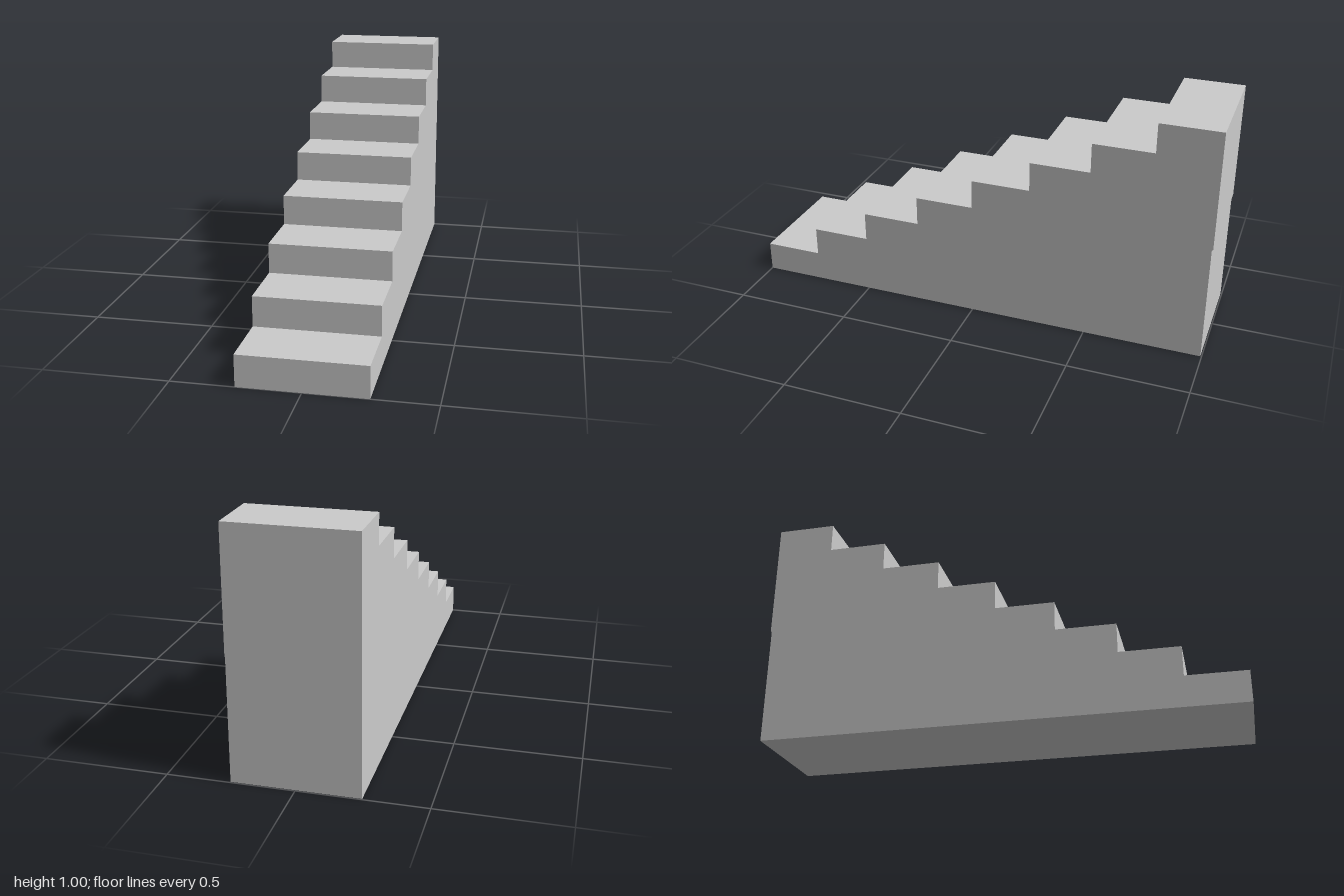
import * as THREE from 'three';

const WIDTH = 0.5;
const STEPS = 8;
const TREAD = 0.25;
const RISER = 0.124;
const FIRST_RISER = 0.129;

export function createModel() {
  const group = new THREE.Group();
  group.name = 'staircase';

  // Side profile, drawn as (z, y): base, back wall with a slight ledge, then the steps
  const profile = new THREE.Shape();
  profile.moveTo(1, 0);
  for (let i = 0; i < STEPS; i++) {
    const top = FIRST_RISER + i * RISER;
    profile.lineTo(1 - i * TREAD, top);
    profile.lineTo(1 - (i + 1) * TREAD, top);
  }
  profile.lineTo(-1, 0.5);
  profile.lineTo(-0.995, 0.5);
  profile.lineTo(-0.995, 0);
  profile.closePath();

  // Extrude across the width and turn the profile to face +z
  const geometry = new THREE.ExtrudeGeometry(profile, { depth: WIDTH, bevelEnabled: false });
  geometry.translate(0, 0, -WIDTH / 2);
  geometry.rotateY(-Math.PI / 2);

  const stairs = new THREE.Mesh(
    geometry,
    new THREE.MeshStandardMaterial({ color: 0xcccccc, flatShading: true })
  );
  stairs.name = 'solidSteps';
  group.add(stairs);
  return group;
}
